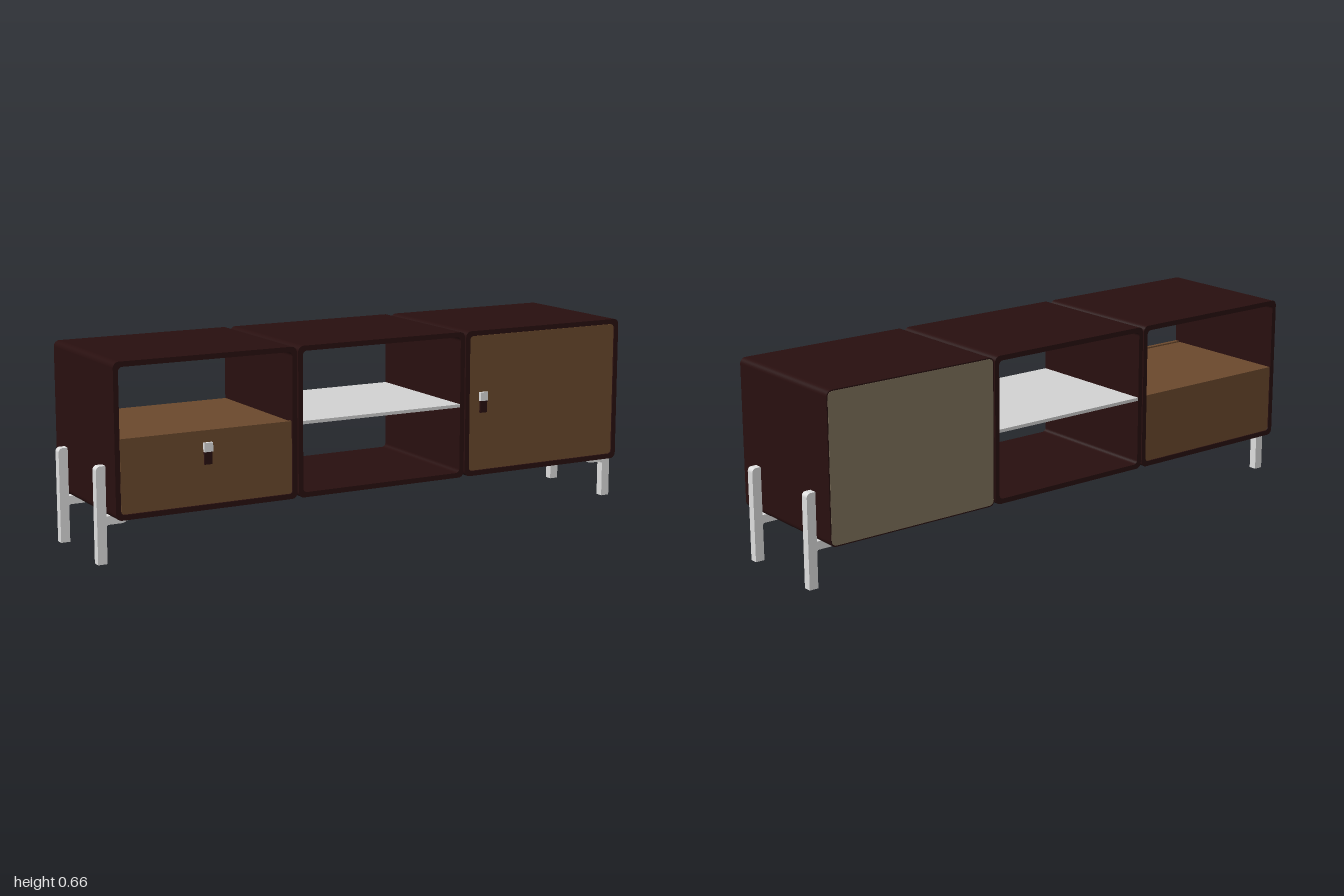
import * as THREE from 'three';

const mat = (name, color, side = THREE.FrontSide) => {
  const m = new THREE.MeshStandardMaterial({ color, side });
  m.name = name;
  return m;
};

// Rounded rectangle outline, centred on x = cx, from y0 to y1
function roundRect(path, cx, y0, w, h, r) {
  const x0 = cx - w / 2, x1 = cx + w / 2, y1 = y0 + h;
  path.moveTo(x0 + r, y0);
  path.lineTo(x1 - r, y0);
  path.absarc(x1 - r, y0 + r, r, -Math.PI / 2, 0);
  path.lineTo(x1, y1 - r);
  path.absarc(x1 - r, y1 - r, r, 0, Math.PI / 2);
  path.lineTo(x0 + r, y1);
  path.absarc(x0 + r, y1 - r, r, Math.PI / 2, Math.PI);
  path.lineTo(x0, y0 + r);
  path.absarc(x0 + r, y0 + r, r, Math.PI, Math.PI * 1.5);
  return path;
}

// Extrude a shape along z, from z0 to z1
function extrude(shape, z0, z1) {
  const g = new THREE.ExtrudeGeometry(shape, { depth: z1 - z0, bevelEnabled: false, curveSegments: 6 });
  return g.translate(0, 0, z0);
}

export function createModel() {
  const dark = mat('darkWood', 0x280f0f);
  const brown = mat('brownWood', 0x6b492d);
  const khaki = mat('backPanelKhaki', 0x80735d);
  const metal = mat('legMetal', 0xdedede);
  const shelfGrey = mat('shelfGrey', 0xd2d2d2);

  const model = new THREE.Group();
  const add = (name, geometry, material, parent = model) => {
    const m = new THREE.Mesh(geometry, material);
    m.name = name;
    parent.add(m);
    return m;
  };
  const box = (name, material, w, h, d, x, y, z, parent) =>
    add(name, new THREE.BoxGeometry(w, h, d), material, parent).position.set(x, y, z);

  const W = 0.639, PITCH = 0.6435, Y0 = 0.155, H = 0.503, T = 0.017, D = 0.25;
  const innerW = W - 2 * T, innerH = H - 2 * T;

  // Three open cabinet frames in a row
  ['rightFrame', 'middleFrame', 'leftFrame'].forEach((name, i) => {
    const cx = (i - 1) * PITCH;
    const s = roundRect(new THREE.Shape(), cx, Y0, W, H, 0.02);
    s.holes.push(roundRect(new THREE.Path(), cx, Y0 + T, innerW, innerH, 0.014));
    add(name, extrude(s, -D, D), dark);
  });
  // Narrow connectors filling the joints between the frames
  for (const s of [-1, 1]) box('frameJoint', dark, 0.006, H - 0.04, 2 * D - 0.03, s * PITCH / 2, Y0 + H / 2, 0);

  // Drawer: separate front panel and a full-depth closed body
  const drawerTop = 0.415, floor = Y0 + T, dh = drawerTop - floor;
  box('drawerFront', brown, innerW - 0.004, dh - 0.002, 0.016, -PITCH, floor + dh / 2, D - 0.011);
  box('drawerBody', brown, innerW, dh - 0.005, 0.474, -PITCH, floor + dh / 2 - 0.002, -0.01);

  // Door and back panel on the closed cabinet
  add('door', extrude(roundRect(new THREE.Shape(), PITCH, Y0 + T + 0.001, innerW - 0.002, innerH - 0.002, 0.013),
    D - 0.02, D - 0.003), brown);
  add('backPanel', extrude(roundRect(new THREE.Shape(), PITCH, Y0 + 0.004, W - 0.008, H - 0.008, 0.017),
    -D - 0.001, -D + 0.005), khaki);

  // Shelf in the open middle cabinet
  box('shelf', shelfGrey, innerW, 0.011, 2 * D, 0, 0.405, 0);

  // Small tab pulls: metal cap over a dark tongue
  const pull = (name, x, y) => {
    const g = new THREE.Group();
    g.name = name;
    g.position.set(x, y, D - 0.004);
    box('pullCap', metal, 0.03, 0.03, 0.012, 0, 0.02, 0.006, g);
    box('pullTongue', dark, 0.027, 0.042, 0.009, 0, -0.015, 0.0045, g);
    model.add(g);
  };
  pull('drawerPull', -0.645, 0.34);
  pull('doorPull', 0.396, 0.41);

  // Leg: tall post on the side with an arm reaching under the cabinet
  const xi = 0.9645, xo = 0.9965, top = 0.318;
  const leg = new THREE.Shape();
  leg.moveTo(xi, 0);
  leg.lineTo(xo, 0);
  leg.lineTo(xo, top - 0.014);
  leg.absarc(xo - 0.014, top - 0.014, 0.014, 0, Math.PI / 2);
  leg.lineTo(xi, top);
  leg.lineTo(xi, Y0);
  leg.lineTo(0.885, Y0);
  leg.quadraticCurveTo(0.888, 0.128, 0.915, 0.127);
  leg.lineTo(xi - 0.008, 0.127);
  leg.quadraticCurveTo(xi, 0.127, xi, 0.118);
  leg.closePath();
  const legGeometry = extrude(leg, -0.014, 0.014);
  for (const side of [1, -1]) for (const z of [0.16, -0.16]) {
    const m = add((z > 0 ? 'front' : 'back') + (side > 0 ? 'Left' : 'Right') + 'Leg', legGeometry, metal);
    m.position.z = z;
    if (side < 0) m.rotation.y = Math.PI;
  }

  // The whole sideboard stands very slightly turned
  model.rotation.y = -0.018;
  const root = new THREE.Group();
  root.name = 'sideboard';
  root.add(model);
  return root;
}
